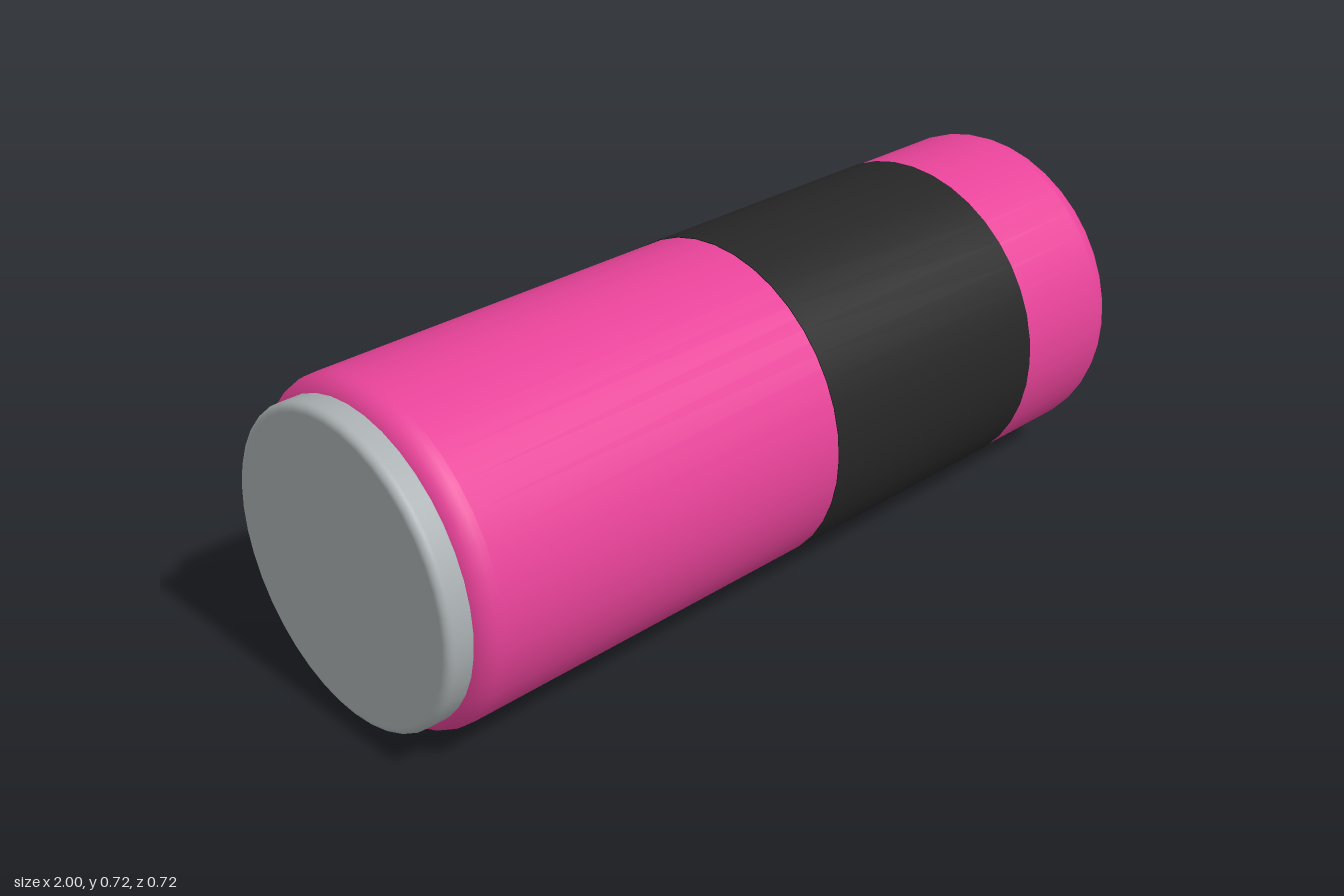
import * as THREE from 'three';

const AXIS_Y = 0.359;

// Solid of revolution along x with rounded rims of radius b
function roundedDrum(name, x0, x1, r, b, sides, material) {
  const pts = [new THREE.Vector2(0, x0), new THREE.Vector2(r - b - 0.002, x0)];
  const steps = 6;
  for (const [cx, start] of [[x0 + b, -Math.PI / 2], [x1 - b, 0]]) {
    for (let i = 0; i <= steps; i++) {
      const a = start + (i / steps) * Math.PI / 2;
      pts.push(new THREE.Vector2(r - b + b * Math.cos(a), cx + b * Math.sin(a)));
    }
    // short straight run keeps the long wall shaded evenly
    if (start < 0) {
      pts.push(new THREE.Vector2(r, x0 + b + 0.002), new THREE.Vector2(r, x1 - b - 0.002));
    }
  }
  pts.push(new THREE.Vector2(r - b - 0.002, x1), new THREE.Vector2(0, x1));
  return place(name, new THREE.LatheGeometry(pts, sides), material);
}

// Lay a y-axis geometry along x at the axle height
function place(name, geometry, material) {
  geometry.rotateZ(-Math.PI / 2);
  const mesh = new THREE.Mesh(geometry, material);
  mesh.name = name;
  mesh.position.y = AXIS_Y;
  return mesh;
}

export function createModel() {
  const mat = (name, color) => {
    const m = new THREE.MeshStandardMaterial({ color });
    m.name = name;
    return m;
  };
  const pink = mat('pink', 0xe84399);
  const black = mat('black', 0x262626);
  const metal = mat('metal', 0xaab0b2);

  const group = new THREE.Group();
  group.name = 'battery';

  // Main casing
  group.add(roundedDrum('casing', -0.95, 0.87, 0.357, 0.05, 40, pink));

  // Dark wrap around the casing
  const band = place('band', new THREE.CylinderGeometry(0.359, 0.359, 0.614, 40), black);
  band.position.x = 0.263;
  group.add(band);

  // Metal ends: wide flat base and small raised tip
  group.add(roundedDrum('baseTerminal', -1, -0.93, 0.328, 0.016, 40, metal));
  group.add(roundedDrum('tipTerminal', 0.84, 1, 0.151, 0.02, 32, metal));

  return group;
}
